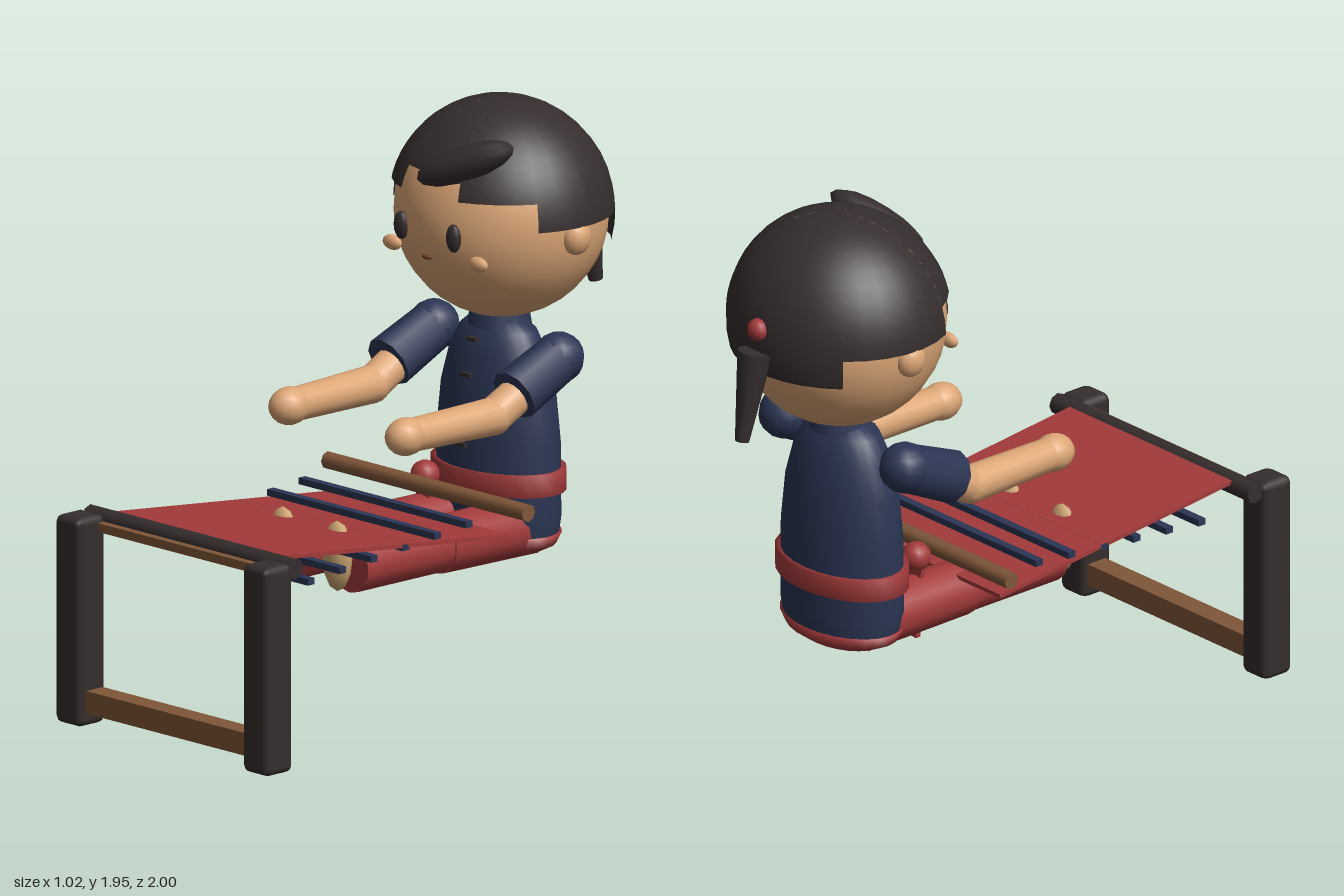
import * as THREE from 'three';
import { RoundedBoxGeometry } from 'three/addons/geometries/RoundedBoxGeometry.js';

const material = (name, color, side = THREE.FrontSide) => {
  const m = new THREE.MeshStandardMaterial({ color, side });
  m.name = name;
  return m;
};

export function createModel() {
  const root = new THREE.Group();
  root.name = 'weaverAtLoom';
  const black = material('charcoal', 0x352d2e, THREE.DoubleSide);
  const skin = material('skin', 0xdca676);
  const navy = material('navy', 0x2b3553, THREE.DoubleSide);
  const red = material('red', 0xa33a3b, THREE.DoubleSide);
  const wood = material('wood', 0x80573a);
  const tan = material('tan', 0xcda572);
  const lip = material('lip', 0x70422f);

  const add = (name, geometry, mat, x = 0, y = 0, z = 0) => {
    const mesh = new THREE.Mesh(geometry, mat);
    mesh.name = name;
    mesh.position.set(x, y, z);
    root.add(mesh);
    return mesh;
  };
  const box = (name, w, h, d, mat, x, y, z) =>
    add(name, new THREE.BoxGeometry(w, h, d), mat, x, y, z);
  const ball = (name, rx, ry, rz, mat, x, y, z, ws = 20, hs = 14) =>
    add(name, new THREE.SphereGeometry(1, ws, hs).scale(rx, ry, rz), mat, x, y, z);
  // Tapered cylinder from point a (radius ra) to point b (radius rb)
  const limb = (name, a, b, ra, rb, mat, sides = 14) => {
    const from = new THREE.Vector3(...a), to = new THREE.Vector3(...b);
    const dir = to.clone().sub(from);
    const mid = from.clone().add(to).multiplyScalar(0.5);
    const mesh = add(name, new THREE.CylinderGeometry(rb, ra, dir.length(), sides), mat, mid.x, mid.y, mid.z);
    mesh.quaternion.setFromUnitVectors(new THREE.Vector3(0, 1, 0), dir.normalize());
    return mesh;
  };
  const lathe = (name, profile, mat, sides = 24) =>
    add(name, new THREE.LatheGeometry(profile.map(p => new THREE.Vector2(...p)), sides).scale(1, 1, 0.68),
      mat, 0, 0, -0.535);

  // Head and face
  const headY = 1.57, headZ = -0.548;
  ball('head', 0.362, 0.36, 0.352, skin, 0, headY, headZ, 28, 20);
  for (const s of [-1, 1]) {
    ball('ear', 0.045, 0.06, 0.055, skin, s * 0.355, 1.535, -0.55, 12, 10);
    ball('eye', 0.03, 0.048, 0.02, black, s * 0.125, 1.547, -0.212, 12, 10);
    ball('cheek', 0.042, 0.026, 0.02, skin, s * 0.205, 1.467, -0.248, 12, 8);
  }
  ball('mouth', 0.025, 0.009, 0.012, lip, 0, 1.462, -0.212, 8, 6);

  // Hair cap: [start angle from the front, end angle, height of lower edge]
  const locks = [[-0.37, 0.37, 1.745], [0.37, 1.11, 1.67], [-1.11, -0.37, 1.67],
    [1.11, 2.3, 1.575], [-2.3, -1.11, 1.575], [2.3, 2 * Math.PI - 2.3, 1.47]];
  for (const [a, b, low] of locks) {
    const drop = Math.acos((low - headY) / 0.38);
    const geo = new THREE.SphereGeometry(1, Math.ceil((b - a) * 5), 12, Math.PI / 2 + a, b - a, 0, drop);
    add('hairCap', geo.scale(0.388, 0.38, 0.363), black, 0, headY, headZ);
  }
  ball('forelock', 0.19, 0.06, 0.065, black, 0.115, 1.79, -0.275, 12, 8).rotation.set(0, 0.38, 0.4);
  ball('hairTie', 0.04, 0.038, 0.035, red, 0, 1.63, -0.905, 12, 8);
  limb('ponytail', [0, 1.555, -0.918], [0, 1.25, -0.976], 0.06, 0.024, black, 10);

  // Torso
  limb('neck', [0, 1.14, -0.54], [0, 1.28, -0.54], 0.09, 0.09, skin);
  limb('collar', [0, 1.18, -0.54], [0, 1.225, -0.54], 0.108, 0.1, navy);
  lathe('jacket', [[0.235, 0.485], [0.245, 0.55], [0.243, 0.8], [0.225, 0.97], [0.192, 1.09],
    [0.15, 1.17], [0.1, 1.21], [0, 1.21]], navy);
  lathe('hips', [[0, 0.425], [0.17, 0.428], [0.225, 0.455], [0.247, 0.495], [0.2, 0.5]], red);
  lathe('sash', [[0.24, 0.64], [0.265, 0.64], [0.265, 0.715], [0.24, 0.715]], red);
  ball('sashKnot', 0.05, 0.05, 0.05, red, -0.12, 0.68, -0.315, 12, 10);
  const tail = box('sashTail', 0.06, 0.28, 0.02, red, -0.11, 0.53, -0.312);
  tail.rotation.z = 0.1;
  [[1.145, -0.418], [1.03, -0.391], [0.91, -0.376], [0.795, -0.368]].forEach(([y, z]) =>
    box('button', 0.045, 0.014, 0.02, black, 0, y, z));

  for (const s of [-1, 1]) {
    // Arms
    const shoulder = [s * 0.298, 1.12, -0.525], cuff = [s * 0.3, 1.028, -0.32];
    const elbow = [s * 0.29, 0.97, -0.235], hand = [s * 0.278, 0.968, 0.15];
    ball('shoulder', 0.086, 0.086, 0.086, navy, ...shoulder, 12, 10);
    limb('sleeve', shoulder, cuff, 0.083, 0.09, navy, 10);
    limb('upperArm', shoulder, elbow, 0.06, 0.062, skin);
    ball('elbow', 0.064, 0.064, 0.064, skin, ...elbow, 14, 10);
    limb('forearm', elbow, hand, 0.064, 0.056, skin);
    ball('hand', 0.064, 0.064, 0.075, skin, ...hand, 14, 10);
    // Legs
    limb('thigh', [s * 0.12, 0.515, -0.56], [s * 0.13, 0.52, -0.13], 0.1, 0.096, red);
    limb('shin', [s * 0.13, 0.52, -0.14], [s * 0.13, 0.52, 0.265], 0.09, 0.09, red);
    ball('foot', 0.062, 0.12, 0.04, tan, s * 0.13, 0.565, 0.32, 8, 6);
    // Loom posts
    add('loomPost', new RoundedBoxGeometry(0.124, 0.71, 0.124, 1, 0.025), black, s * 0.448, 0.355, 0.938);
  }

  // Loom rails and beams
  box('lowerRail', 0.8, 0.077, 0.077, wood, 0, 0.086, 0.932);
  box('upperRail', 0.8, 0.03, 0.03, wood, 0, 0.67, 0.9);
  limb('warpBeam', [-0.49, 0.683, 0.852], [0.49, 0.683, 0.852], 0.036, 0.036, black, 8);
  limb('clothBeam', [-0.48, 0.68, -0.215], [0.48, 0.68, -0.215], 0.03, 0.03, wood, 8);

  // Sloping cloth and the bars across it
  const cloth = box('cloth', 0.8, 0.014, 1.035, red, 0, 0.646, 0.32);
  cloth.rotation.x = -Math.atan2(0.107, 1.0);
  for (let i = 0; i < 6; i++)
    box('patternBar', 0.8, 0.022, 0.03, navy, 0, 0.661 - i * 0.0132, -0.022 + i * 0.1434);

  return root;
}
